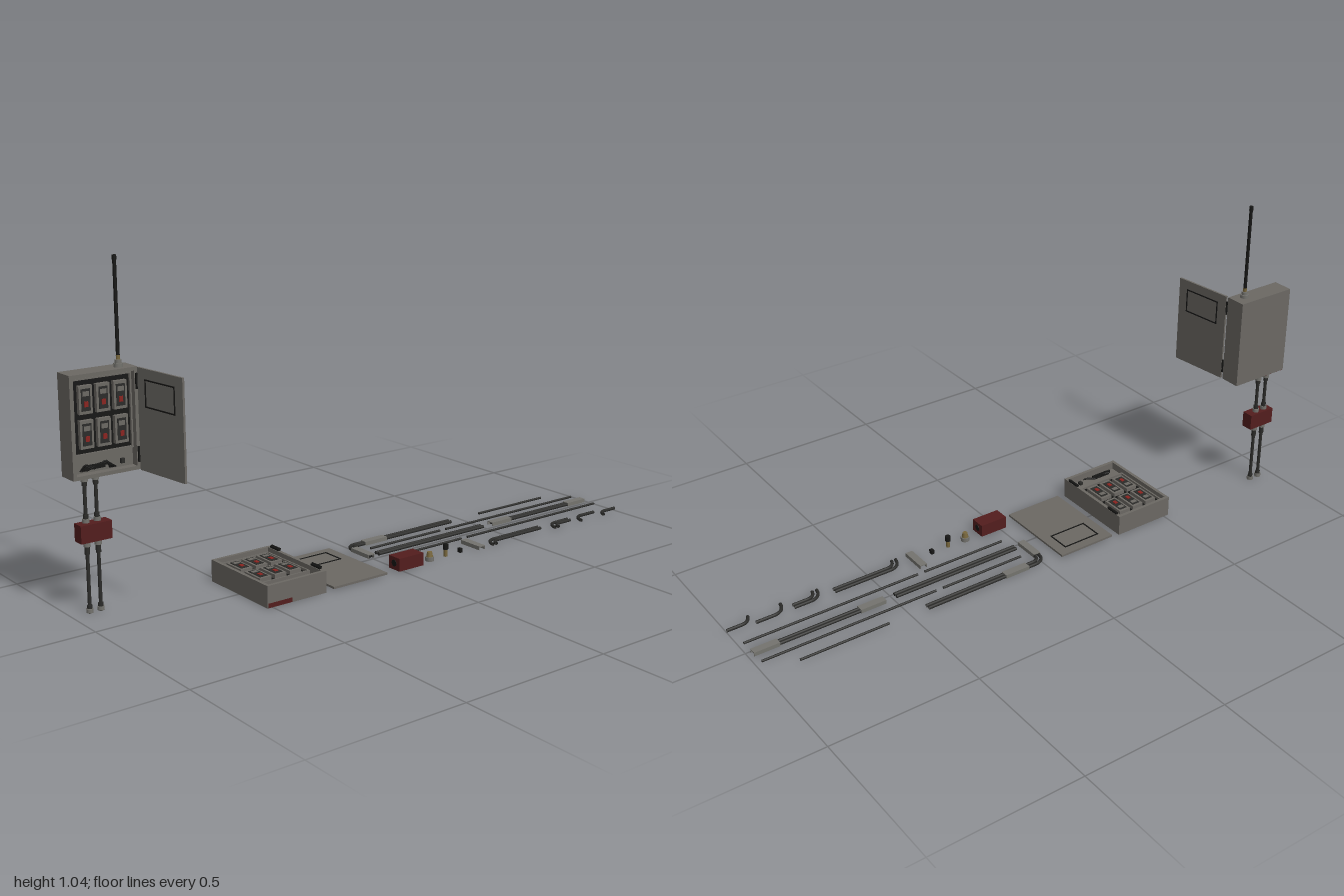
import * as THREE from 'three';

const mat = (name, color, side = THREE.FrontSide) => {
  const m = new THREE.MeshStandardMaterial({ color, side });
  m.name = name;
  return m;
};
const M = {
  grey: mat('cabinet grey', 0x6b6863),
  steel: mat('fitting steel', 0x74736e),
  dark: mat('pipe charcoal', 0x2b2b29, THREE.DoubleSide),
  black: mat('black', 0x161615),
  red: mat('dark red', 0x521d1d),
  signal: mat('indicator red', 0x8a2420),
  brass: mat('brass', 0x77663c),
};

function add(parent, name, geo, m, p = [0, 0, 0]) {
  const mesh = new THREE.Mesh(geo, m);
  mesh.name = name;
  mesh.position.set(...p);
  parent.add(mesh);
  return mesh;
}
const box = (parent, name, m, s, p) => add(parent, name, new THREE.BoxGeometry(...s), m, p);

// Cylinder between two points, optionally tapered
function rod(parent, name, m, a, b, r, r2 = r, sides = 14) {
  const A = new THREE.Vector3(...a), B = new THREE.Vector3(...b), d = B.clone().sub(A);
  const mesh = add(parent, name, new THREE.CylinderGeometry(r2, r, d.length(), sides), m);
  mesh.position.copy(A).lerp(B, 0.5);
  mesh.quaternion.setFromUnitVectors(new THREE.Vector3(0, 1, 0), d.normalize());
  return mesh;
}

// Pipe on the floor: runs along -z from the start, bends through a corner, then runs along +x
function bentPipe(parent, name, [x0, z0], [cx, cz], x1, R, r, y = 0.008) {
  const v = (x, z) => new THREE.Vector3(x, y, z);
  const path = new THREE.CurvePath();
  const s = v(x0, z0), k = v(cx, cz);
  const a = s.clone().lerp(k, Math.max(0.02, 1 - R / s.distanceTo(k)));
  path.add(new THREE.LineCurve3(s, a));
  path.add(new THREE.QuadraticBezierCurve3(a, k, v(cx + R, cz)));
  path.add(new THREE.LineCurve3(v(cx + R, cz), v(x1, cz)));
  add(parent, name, new THREE.TubeGeometry(path, 56, r, 10), M.dark);
}

// Rectangular ring facing +z, centred on the origin
function ring(w, h, t, depth) {
  const rect = (S, a, b) => {
    const s = new S();
    s.moveTo(-a, -b); s.lineTo(a, -b); s.lineTo(a, b); s.lineTo(-a, b); s.closePath();
    return s;
  };
  const shape = rect(THREE.Shape, w / 2, h / 2);
  shape.holes.push(rect(THREE.Path, w / 2 - t, h / 2 - t));
  const g = new THREE.ExtrudeGeometry(shape, { depth, bevelEnabled: false });
  g.translate(0, 0, -depth / 2);
  return g;
}

// Open cabinet facing +z
function cabinet(name) {
  const g = new THREE.Group();
  g.name = name;
  box(g, 'backBody', M.grey, [0.215, 0.302, 0.045], [0, 0, -0.0125]);
  add(g, 'rim', ring(0.215, 0.302, 0.011, 0.025), M.grey, [0, 0, 0.0225]);
  box(g, 'mountingPanel', M.black, [0.18, 0.215, 0.004], [0, 0.025, 0.012]);
  add(g, 'panelBorder', ring(0.188, 0.223, 0.005, 0.012), M.grey, [0, 0.025, 0.016]);
  // Six instrument modules
  for (const y of [0.075, -0.025]) for (const x of [-0.055, 0, 0.055]) {
    const u = new THREE.Group();
    u.name = 'module';
    u.position.set(x, y, 0.02);
    g.add(u);
    box(u, 'moduleBody', M.grey, [0.042, 0.082, 0.014], [0, 0, 0]);
    box(u, 'moduleFace', M.dark, [0.028, 0.064, 0.002], [0, 0, 0.0075]);
    box(u, 'moduleScreen', M.grey, [0.02, 0.014, 0.002], [0, 0.018, 0.0085]);
    box(u, 'indicator', M.signal, [0.012, 0.016, 0.004], [0, -0.012, 0.0085]);
  }
  // Wiring in the lower compartment
  for (let i = 0; i < 4; i++) {
    const pts = [[-0.075, -0.133], [-0.06, -0.115 - i * 0.004], [-0.03, -0.13 + i * 0.004], [0.005, -0.112 - i * 0.005], [0.02, -0.135]]
      .map(([x, y], j) => new THREE.Vector3(x + i * 0.006, y, 0.014 + (j % 2) * 0.005));
    add(g, 'wire', new THREE.TubeGeometry(new THREE.CatmullRomCurve3(pts), 24, 0.0028, 6), M.black);
  }
  box(g, 'terminalStrip', M.black, [0.065, 0.012, 0.012], [-0.03, -0.124, 0.014]);
  box(g, 'terminal', M.dark, [0.012, 0.014, 0.01], [0.06, -0.122, 0.014]);
  box(g, 'bottomMark', M.red, [0.085, 0.002, 0.014], [-0.062, -0.151, -0.027]);
  for (const y of [0.11, -0.105]) {
    box(g, 'hingeLeaf', M.black, [0.008, 0.046, 0.008], [0.103, y, 0.037]);
    rod(g, 'hingePin', M.black, [0.106, y - 0.023, 0.041], [0.106, y + 0.023, 0.041], 0.003);
  }
  return g;
}

// Door facing +z with a framed window
function door(name) {
  const g = new THREE.Group();
  g.name = name;
  box(g, 'doorPanel', M.grey, [0.208, 0.302, 0.007], [0, 0, 0]);
  add(g, 'windowFrame', ring(0.138, 0.082, 0.004, 0.011), M.black, [0, 0.08, 0]);
  return g;
}

// Inverted U channel cover lying on the floor
function channel(parent, x, z, length, alongZ = false) {
  const g = new THREE.Group();
  g.name = 'channelCover';
  g.position.set(x, 0, z);
  if (alongZ) g.rotation.y = Math.PI / 2;
  box(g, 'coverTop', M.steel, [length, 0.003, 0.025], [0, 0.0135, 0]);
  for (const s of [-1, 1]) box(g, 'coverSide', M.steel, [length, 0.011, 0.002], [0, 0.0075, s * 0.0115]);
  parent.add(g);
}

export function createModel() {
  const root = new THREE.Group();
  root.name = 'cabinetKit';

  // Assembled station
  const station = new THREE.Group();
  station.name = 'assembledStation';
  root.add(station);
  const standing = cabinet('standingCabinet');
  standing.position.set(-0.8925, 0.57, -0.125);
  station.add(standing);
  const hinge = new THREE.Group();
  hinge.name = 'openDoorHinge';
  hinge.position.set(-0.787, 0.57, -0.082);
  hinge.rotation.y = THREE.MathUtils.degToRad(96);
  const openDoor = door('openDoor');
  openDoor.position.x = -0.104;
  hinge.add(openDoor);
  station.add(hinge);

  // Antenna
  const ant = (n, m, y0, y1, r, r2) => rod(station, n, m, [-0.829, y0, -0.12], [-0.829, y1, -0.12], r, r2);
  ant('antennaGland', M.steel, 0.718, 0.732, 0.014);
  ant('antennaNut', M.steel, 0.732, 0.742, 0.01);
  ant('antennaBrass', M.brass, 0.742, 0.755, 0.006);
  ant('antennaRod', M.black, 0.755, 1.03, 0.0055);
  ant('antennaTip', M.black, 1.026, 1.04, 0.0065);

  // Conduits, glands and junction box
  for (const x of [-0.942, -0.906]) {
    rod(station, 'conduit', M.dark, [x, 0, -0.14], [x, 0.42, -0.14], 0.0055);
    for (const [y, h] of [[0.399, 0.02], [0.276, 0.012], [0.204, 0.016], [0.003, 0.012]]) {
      rod(station, 'gland', M.steel, [x, y, -0.14], [x, y + h, -0.14], 0.011, 0.011, 8);
    }
    for (const [y, h] of [[0.386, 0.013], [0.288, 0.012], [0.18, 0.024], [0.015, 0.01]]) {
      rod(station, 'glandNeck', M.dark, [x, y, -0.14], [x, y + h, -0.14], 0.008);
    }
  }
  box(station, 'junctionBox', M.red, [0.1, 0.054, 0.04], [-0.921, 0.248, -0.137]);

  // Loose cabinet and door lying on their backs
  const lying = cabinet('lyingCabinet');
  lying.rotation.x = -Math.PI / 2;
  lying.position.set(-0.411, 0.035, 0.003);
  root.add(lying);
  const loose = door('looseDoor');
  loose.rotation.x = -Math.PI / 2;
  loose.position.set(-0.17, 0.008, 0.003);
  root.add(loose);

  // Small loose parts
  box(root, 'looseJunctionBox', M.red, [0.098, 0.042, 0.052], [0.03, 0.025, 0.13]);
  for (const s of [-1, 1]) rod(root, 'boxEntry', M.black, [0.03 + s * 0.047, 0.026, 0.13], [0.03 + s * 0.0505, 0.026, 0.13], 0.011);
  rod(root, 'looseGland', M.steel, [0.132, 0, 0.125], [0.132, 0.014, 0.125], 0.015, 0.015, 8);
  rod(root, 'looseGlandTop', M.brass, [0.132, 0.014, 0.125], [0.132, 0.03, 0.125], 0.011, 0.008);
  rod(root, 'looseConnector', M.brass, [0.2, 0, 0.125], [0.2, 0.026, 0.125], 0.006);
  rod(root, 'looseConnectorCap', M.black, [0.2, 0.024, 0.125], [0.2, 0.042, 0.125], 0.009);
  box(root, 'looseClip', M.black, [0.011, 0.014, 0.014], [0.264, 0.007, 0.124]);
  channel(root, 0.333, 0.11, 0.09, true);

  // Straight rods: x start, x end, z, radius
  for (const [a, b, z, r] of [
    [0.045, 0.345, -0.07, 0.004], [0.372, 0.98, -0.07, 0.004],
    [0.045, 0.345, 0.039, 0.004], [0.372, 0.985, 0.039, 0.004],
    [0.58, 0.885, -0.13, 0.004],
    [0.03, 0.49, -0.024, 0.0055], [0.03, 0.49, -0.01, 0.0055],
    [0.54, 0.98, -0.025, 0.0052], [0.54, 0.98, -0.012, 0.0052],
  ]) rod(root, 'looseRod', M.dark, [a, 0.008, z], [b, 0.008, z], r);

  // Covered pipe runs
  channel(root, 0.575, -0.018, 0.09);
  channel(root, 0.942, -0.018, 0.086);
  bentPipe(root, 'longBend', [-0.01, -0.005], [-0.01, -0.134], 0.44, 0.045, 0.0055);
  bentPipe(root, 'longBend', [0.004, -0.005], [0.004, -0.12], 0.44, 0.032, 0.0055);
  channel(root, -0.003, -0.05, 0.09, true);
  channel(root, 0.105, -0.127, 0.09);

  // Short elbows
  bentPipe(root, 'doubleElbow', [0.386, 0.152], [0.396, 0.11], 0.632, 0.036, 0.0052);
  bentPipe(root, 'doubleElbow', [0.401, 0.152], [0.41, 0.124], 0.632, 0.025, 0.0052);
  bentPipe(root, 'shortDoubleElbow', [0.676, 0.152], [0.686, 0.11], 0.776, 0.036, 0.0052);
  bentPipe(root, 'shortDoubleElbow', [0.692, 0.152], [0.701, 0.124], 0.776, 0.025, 0.0052);
  bentPipe(root, 'elbow', [0.804, 0.152], [0.814, 0.11], 0.908, 0.036, 0.0055);
  bentPipe(root, 'smallElbow', [0.916, 0.152], [0.926, 0.124], 1.0, 0.026, 0.0055);
  return root;
}
